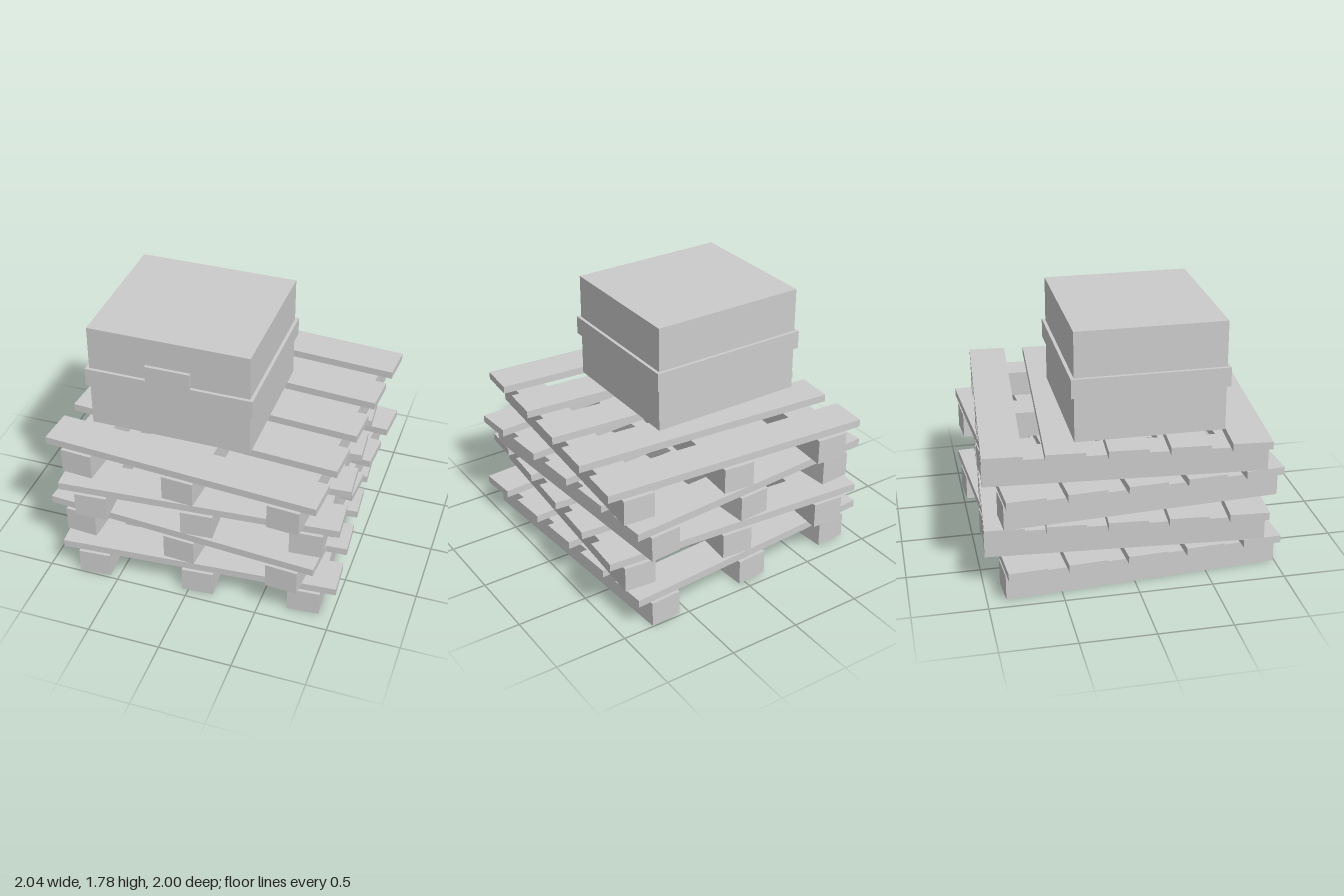
import * as THREE from 'three';

const grey = new THREE.MeshStandardMaterial({ color: 0xcccccc, flatShading: true });

// Box given by its centre in x and z, its bottom y, and its size
function block(name, [w, h, d], x, bottom, z) {
  const mesh = new THREE.Mesh(new THREE.BoxGeometry(w, h, d), grey);
  mesh.name = name;
  mesh.position.set(x, bottom + h / 2, z);
  return mesh;
}

// Three runners front to back, carrying five slats
function makePallet() {
  const pallet = new THREE.Group();
  pallet.name = 'pallet';
  for (let i = -1; i <= 1; i++) {
    pallet.add(block('runner', [0.22, 0.178, 1.87], i * 0.737, 0, 0));
  }
  for (let i = -2; i <= 2; i++) {
    pallet.add(block('slat', [1.91, 0.053, 0.262], 0, 0.2, i * 0.402));
  }
  return pallet;
}

// Carton with a wrapped band and a raised tab at the front
function makeCarton() {
  const carton = new THREE.Group();
  carton.name = 'carton';
  carton.add(
    block('cartonBody', [1.11, 0.75, 1.0], 0, 0, 0),
    block('band', [1.155, 0.13, 1.045], 0, 0.31, 0),
    block('bandTab', [0.31, 0.11, 0.0325], 0, 0.44, 0.50625)
  );
  return carton;
}

export function createModel() {
  const model = new THREE.Group();
  model.name = 'palletStack';

  // Stack of pallets, twisted alternately
  const twist = THREE.MathUtils.degToRad(4);
  for (let i = 0; i < 4; i++) {
    const pallet = makePallet();
    pallet.position.y = i * 0.2565;
    pallet.rotation.y = i % 2 ? -twist : twist;
    model.add(pallet);
  }

  const carton = makeCarton();
  carton.position.set(-0.225, 1.03, 0.113);
  model.add(carton);
  return model;
}
